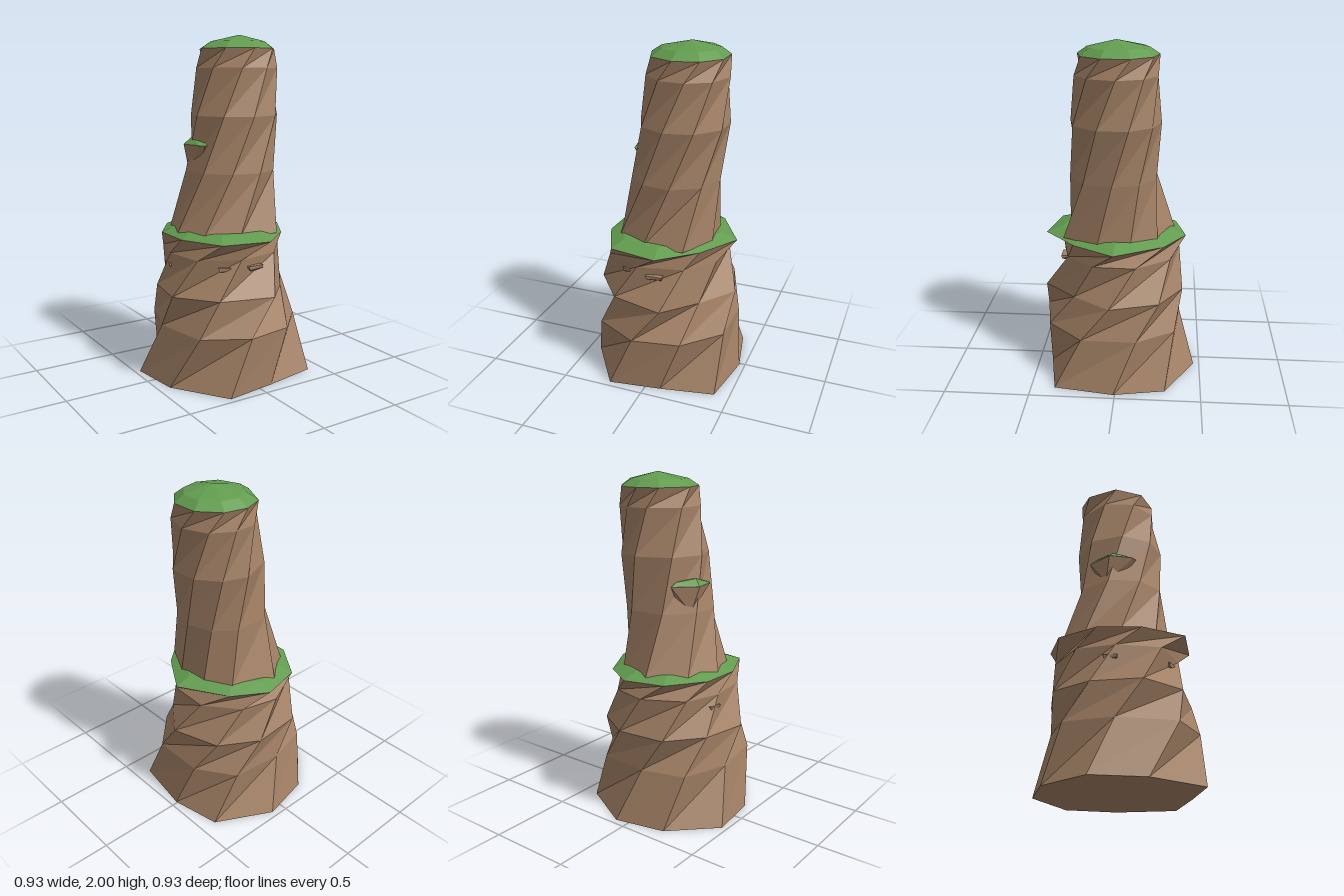
import * as THREE from 'three';
import { ConvexGeometry } from 'three/addons/geometries/ConvexGeometry.js';

const SIDES = 9;
const rock = new THREE.MeshStandardMaterial({ color: 0xa38165 });
rock.name = 'brown rock';
const grass = new THREE.MeshStandardMaterial({ color: 0x629c4f });
grass.name = 'green grass';

// Point at an angle measured from the front (+z) towards the left (+x)
function polar(deg, r, y, cx = 0, cz = 0) {
  const a = THREE.MathUtils.degToRad(deg);
  return new THREE.Vector3(cx + r * Math.sin(a), y, cz + r * Math.cos(a));
}

// Nine-sided ring; radii may be one value or one per corner
function ring(y, angles, radii, cx = 0, cz = 0) {
  return angles.map((a, i) => polar(a, Array.isArray(radii) ? radii[i] : radii, y, cx, cz));
}

// Faceted skin through a stack of rings, closed by fans to optional end points;
// each face folds along its twist so the spiral ridges stay sharp
function loft(rings, bottom, top) {
  const tris = [];
  const first = rings[0], last = rings[rings.length - 1];
  for (let i = 0; i < SIDES; i++) {
    const j = (i + 1) % SIDES;
    for (let k = 0; k < rings.length - 1; k++) {
      const lo = rings[k], hi = rings[k + 1];
      tris.push(lo[i], lo[j], hi[j], lo[i], hi[j], hi[i]);
    }
    if (bottom) tris.push(bottom, first[j], first[i]);
    if (top) tris.push(top, last[i], last[j]);
  }
  const geo = new THREE.BufferGeometry().setFromPoints(tris);
  geo.computeVertexNormals();
  return geo;
}

function hull(points) {
  return new ConvexGeometry(points.map(p => new THREE.Vector3(...p)));
}

export function createModel() {
  const model = new THREE.Group();
  model.name = 'rockPillar';
  const add = (name, geo, mat) => {
    const mesh = new THREE.Mesh(geo, mat);
    mesh.name = name;
    model.add(mesh);
    return mesh;
  };

  // Lower tier: twisting column that flares into an overhanging rim
  const rimAngles = [88.6, 136, 171, 208, 250, 291, 330, 368.5, 407];
  const rimRadii = [0.42, 0.375, 0.4, 0.38, 0.35, 0.36, 0.44, 0.44, 0.37];
  const rim = ring(0.855, rimAngles, rimRadii);
  add('lowerColumn', loft([
    ring(0, [12, 48.7, 88.8, 125.6, 170, 209, 251, 289, 335],
      [0.43, 0.546, 0.465, 0.498, 0.472, 0.457, 0.496, 0.455, 0.512]),
    ring(0.32, [27, 64, 106, 142, 186, 225, 267, 314, 351],
      [0.46, 0.456, 0.43, 0.43, 0.37, 0.42, 0.39, 0.46, 0.465]),
    ring(0.53, [47, 85, 126, 163, 207, 246, 288, 328, 372],
      [0.37, 0.43, 0.42, 0.4, 0.4, 0.38, 0.42, 0.42, 0.45]),
    ring(0.75, [68, 108, 148, 184, 228, 267, 309, 348, 393],
      [0.36, 0.36, 0.36, 0.36, 0.35, 0.33, 0.38, 0.36, 0.35]),
    rim,
  ], new THREE.Vector3(0, 0, 0), new THREE.Vector3(0, 0.855, 0)), rock);

  // Grass collar sloping up from the rim
  add('grassCollar', loft([rim, ring(0.89, rimAngles, rimRadii.map(r => r * 0.78))], null,
    new THREE.Vector3(0, 0.9, 0)), grass);

  // Upper tier: slimmer column, twisting and leaning to the left
  const start = [31, 70, 105, 138, 187, 232, 274, 312, 350];
  const turn = d => start.map(a => a + d);
  const top = ring(1.92, turn(80), 0.23, 0.113, 0.002);
  add('upperColumn', loft([
    ring(0.87, start, [0.37, 0.32, 0.3, 0.31, 0.33, 0.3, 0.3, 0.32, 0.31]),
    ring(1.22, turn(20), 0.262, 0.05, 0.025),
    ring(1.54, turn(40), 0.262, 0.09, 0.02),
    ring(1.81, turn(61), 0.238, 0.11, 0.01),
    top,
  ]), rock);

  // Domed grass cap
  add('grassCap', loft([top, ring(1.96, turn(80), 0.172, 0.118, 0.004)],
    new THREE.Vector3(0.113, 1.92, 0), new THREE.Vector3(0.13, 2, 0.01)), grass);

  // Small outcrop on the right side with grass on top
  const shelf = [[-0.215, -0.05], [-0.1, -0.165], [-0.05, -0.1], [-0.1, 0.08], [-0.165, 0.11], [-0.19, 0.09]];
  const shelfAt = y => shelf.map(([x, z]) => [x, y, z]);
  add('outcrop', hull([...shelfAt(1.375), [-0.17, 1.22, -0.07], [-0.15, 1.27, 0.03], [-0.1, 1.25, -0.1]]), rock);
  add('outcropGrass', hull([...shelfAt(1.376), [-0.175, 1.415, -0.03], [-0.11, 1.4, -0.13], [-0.1, 1.41, 0.02]]), grass);

  // Little stone chips standing out below the rim
  for (const [deg, r, y, w] of [[-26, 0.345, 0.695, 0.045], [4, 0.35, 0.695, 0.05], [262, 0.335, 0.68, 0.04]]) {
    const chip = add('stoneChip', hull([
      [-w, 0.01, 0], [w, 0.01, 0.005], [w, -0.008, 0], [-w * 0.8, -0.012, 0],
      [-w, 0.01, -0.06], [w, 0.01, -0.06], [0, -0.04, -0.05],
    ]), rock);
    chip.position.copy(polar(deg, r, y));
    chip.rotation.y = THREE.MathUtils.degToRad(deg);
  }

  return model;
}
